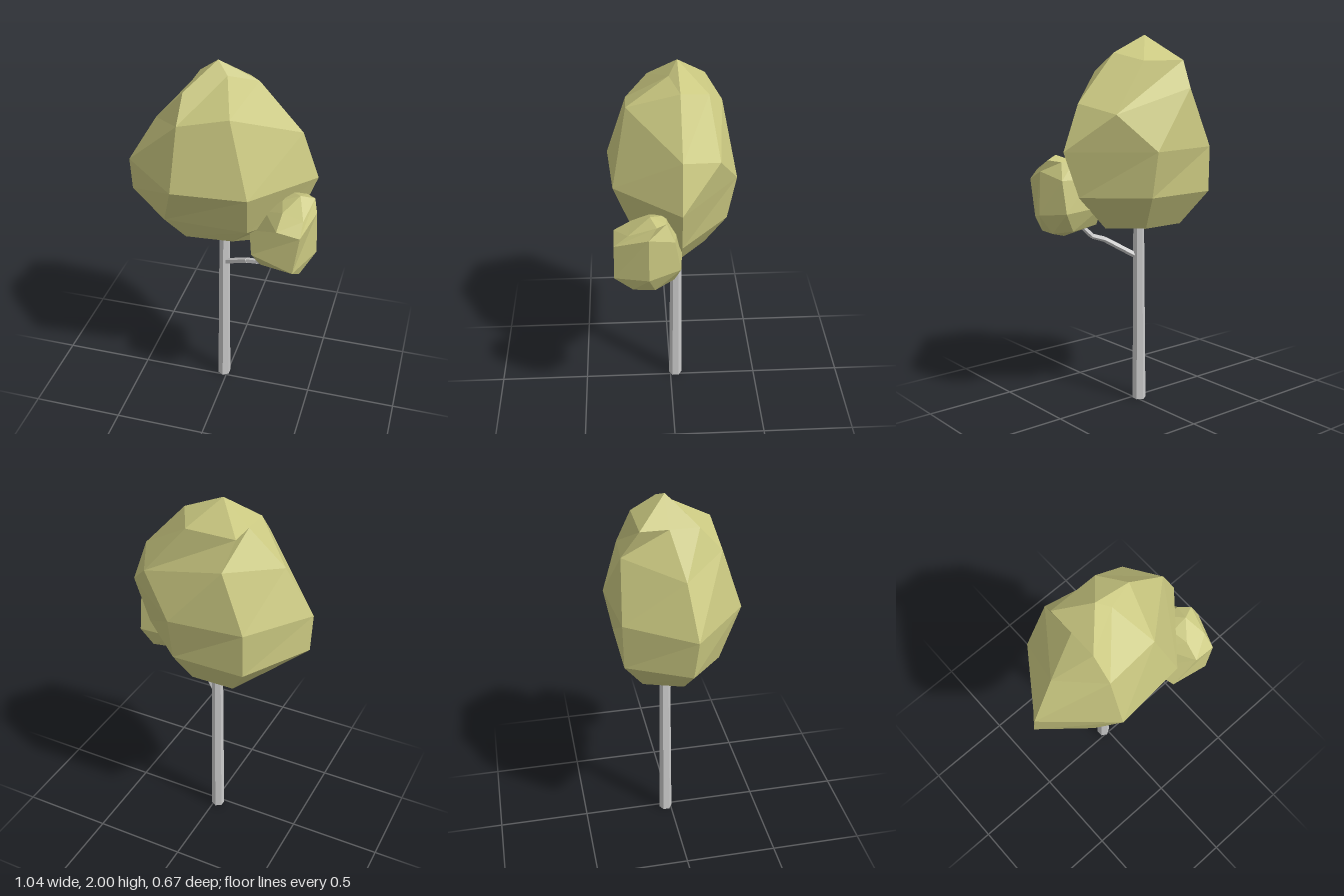
import * as THREE from 'three';

const SIDES = 6;

// Faceted clump of foliage: closed skin over rings listed bottom to top.
// Each ring runs left, front-left, front-right, right, back-right, back-left.
function foliage(name, bottom, rings, top, material) {
  const pos = [];
  const tri = (a, b, c) => pos.push(...a, ...b, ...c);
  const last = rings[rings.length - 1];
  for (let i = 0; i < SIDES; i++) {
    const j = (i + 1) % SIDES;
    tri(bottom, rings[0][j], rings[0][i]);
    for (let r = 0; r < rings.length - 1; r++) {
      const lo = rings[r], hi = rings[r + 1];
      tri(lo[i], lo[j], hi[j]);
      tri(lo[i], hi[j], hi[i]);
    }
    tri(last[i], last[j], top);
  }
  const geo = new THREE.BufferGeometry();
  geo.setAttribute('position', new THREE.Float32BufferAttribute(pos, 3));
  geo.computeVertexNormals();
  const mesh = new THREE.Mesh(geo, material);
  mesh.name = name;
  return mesh;
}

// Straight tapered limb between two points
function limb(a, b, r0, r1, sides, material) {
  const from = new THREE.Vector3(...a), dir = new THREE.Vector3(...b).sub(from);
  const geo = new THREE.CylinderGeometry(r1, r0, dir.length(), sides);
  const mesh = new THREE.Mesh(geo, material);
  mesh.position.copy(from).addScaledVector(dir, 0.5);
  mesh.quaternion.setFromUnitVectors(new THREE.Vector3(0, 1, 0), dir.normalize());
  return mesh;
}

export function createModel() {
  const tree = new THREE.Group();
  tree.name = 'tree';
  const leaf = new THREE.MeshStandardMaterial({ color: 0xc9c780, flatShading: true });
  const bark = new THREE.MeshStandardMaterial({ color: 0xcccccc, flatShading: true });

  // Large crown
  tree.add(foliage('crown', [-0.04, 0.98, 0], [
    [[-0.32, 1.05, 0.01], [-0.19, 1.04, 0.12], [0.07, 1.06, 0.13],
      [0.22, 1.0, -0.04], [0.06, 1.0, -0.18], [-0.18, 1.0, -0.18]],
    [[-0.52, 1.23, 0.015], [-0.28, 1.18, 0.2], [0.17, 1.18, 0.21],
      [0.39, 1.18, -0.04], [0.11, 1.18, -0.29], [-0.285, 1.18, -0.29]],
    [[-0.52, 1.42, 0.04], [-0.2, 1.42, 0.33], [0.19, 1.42, 0.3],
      [0.48, 1.42, -0.035], [0.11, 1.42, -0.335], [-0.285, 1.42, -0.295]],
    [[-0.37, 1.67, 0.01], [-0.19, 1.74, 0.225], [0.08, 1.81, 0.225],
      [0.39, 1.66, -0.04], [0.295, 1.61, -0.23], [-0.16, 1.73, -0.275]],
    [[-0.19, 1.87, -0.04], [-0.19, 1.87, 0.11], [0.01, 1.94, 0.01],
      [0.16, 1.91, -0.04], [0.08, 1.87, -0.185], [-0.19, 1.87, -0.185]],
  ], [-0.05, 2, -0.035], leaf));

  // Small clump on the side branch
  tree.add(foliage('sideClump', [0.36, 0.95, 0.14], [
    [[0.2, 1.05, 0.12], [0.25, 1.02, 0.24], [0.45, 0.98, 0.21],
      [0.46, 0.98, 0.1], [0.4, 1.0, 0.0], [0.25, 1.02, 0.0]],
    [[0.16, 1.14, 0.12], [0.21, 1.1, 0.28], [0.43, 1.04, 0.305],
      [0.52, 1.08, 0.13], [0.46, 1.1, -0.03], [0.25, 1.12, -0.05]],
    [[0.24, 1.27, 0.12], [0.34, 1.27, 0.3], [0.46, 1.25, 0.3],
      [0.51, 1.31, 0.13], [0.465, 1.27, 0.0], [0.3, 1.27, -0.02]],
    [[0.33, 1.35, 0.12], [0.35, 1.33, 0.21], [0.46, 1.31, 0.23],
      [0.49, 1.37, 0.09], [0.44, 1.36, 0.04], [0.36, 1.36, 0.04]],
  ], [0.42, 1.39, 0.12], leaf));

  // Trunk, slightly tapered and reaching into the crown
  const trunk = limb([-0.02, 0, -0.03], [-0.016, 1.1, -0.03], 0.037, 0.029, 6, bark);
  trunk.name = 'trunk';
  tree.add(trunk);

  // Kinked branch carrying the small clump
  const branch = new THREE.Group();
  branch.name = 'branch';
  const path = [[-0.01, 0.815, -0.025], [0.14, 0.915, 0.075], [0.2, 0.935, 0.1], [0.3, 1.04, 0.14]];
  for (let i = 0; i < path.length - 1; i++) {
    branch.add(limb(path[i], path[i + 1], 0.017 - i * 0.001, 0.016 - i * 0.001, 5, bark));
  }
  tree.add(branch);

  return tree;
}
